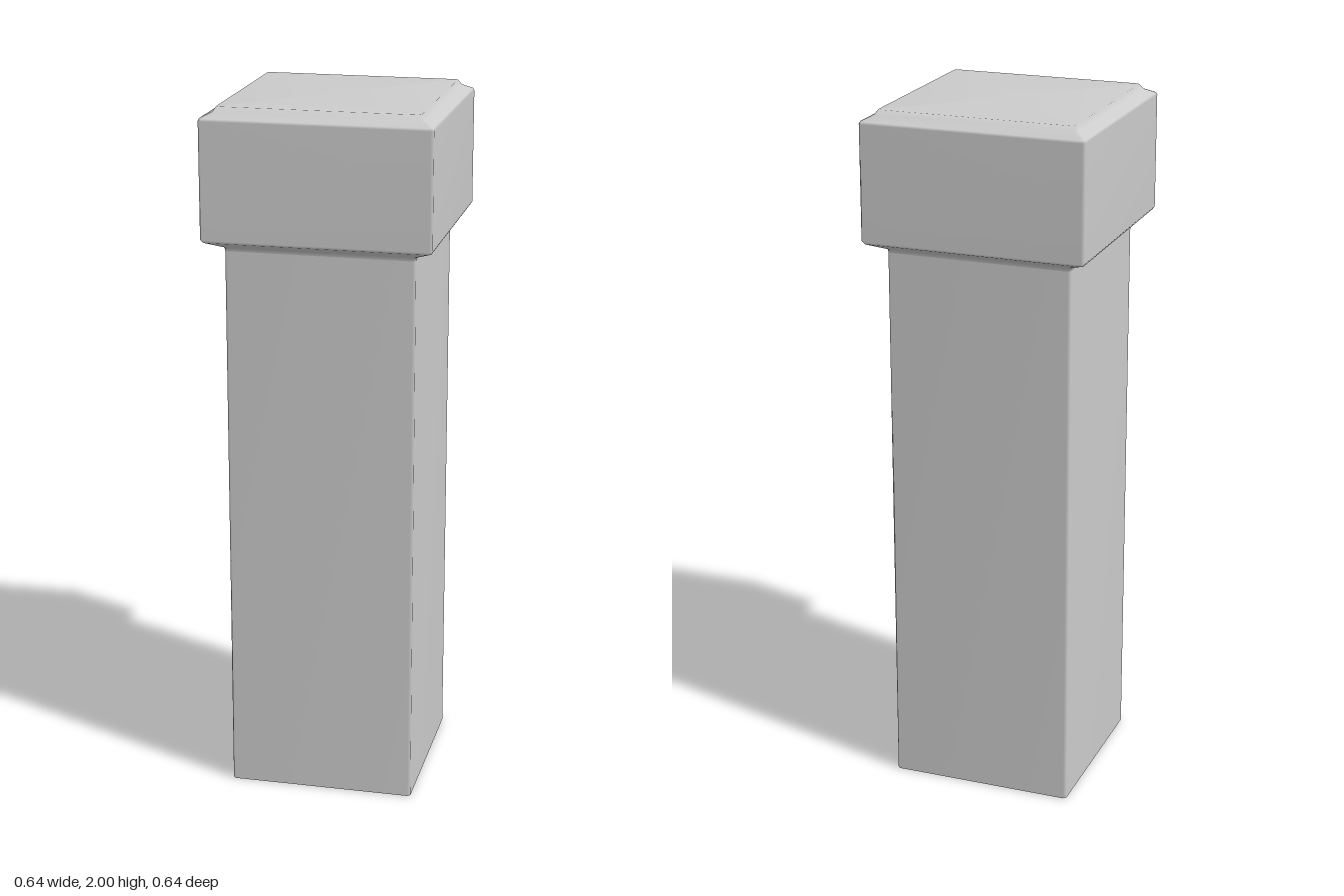
import * as THREE from 'three';

// Square cross-section of half width h with corners trimmed by c
function squareRing(h, y, c) {
  const k = h - c;
  return [[h, -k], [h, k], [k, h], [-k, h], [-h, k], [-h, -k], [-k, -h], [k, -h]]
    .map(([x, z]) => [x, y, z]);
}

// Smooth loft through square sections given as [half width, height]
function squareLoft(profile, chamfer) {
  const n = 8;
  const position = profile.flatMap(([h, y]) => squareRing(h, y, chamfer)).flat();
  const index = [];
  for (let r = 0; r < profile.length - 1; r++) {
    for (let i = 0; i < n; i++) {
      const a = r * n + i, b = r * n + (i + 1) % n;
      index.push(a, a + n, b, b, a + n, b + n);
    }
  }
  return { position, index, n };
}

function finish({ position, index }) {
  const geometry = new THREE.BufferGeometry();
  geometry.setAttribute('position', new THREE.Float32BufferAttribute(position, 3));
  geometry.setIndex(index);
  geometry.computeVertexNormals();
  return geometry;
}

export function createModel() {
  const group = new THREE.Group();
  group.name = 'post';
  const material = new THREE.MeshStandardMaterial({ color: 0xcccccc });
  const add = (name, geometry) => {
    const mesh = new THREE.Mesh(geometry, material);
    mesh.name = name;
    group.add(mesh);
    return mesh;
  };
  const chamfer = 0.008;

  // Shaft with softened vertical edges
  add('shaft', finish(squareLoft([[0.266, 0], [0.266, 1.6]], chamfer)));

  // Flat underside with a hard edge
  const base = add('base', new THREE.PlaneGeometry(0.53, 0.53));
  base.rotation.x = Math.PI / 2;

  // Cap: flared underside, straight sides, stepped bevel and flat top
  const cap = squareLoft([
    [0.266, 1.6], [0.268, 1.61], [0.316, 1.632], [0.321, 1.64],
    [0.321, 1.965], [0.318, 1.972], [0.29, 1.986], [0.28, 2],
  ], chamfer);
  const centre = cap.position.length / 3;
  const rim = centre - cap.n;
  cap.position.push(0, 2, 0);
  for (let i = 0; i < cap.n; i++) {
    cap.index.push(centre, rim + (i + 1) % cap.n, rim + i);
  }
  add('cap', finish(cap));

  return group;
}
